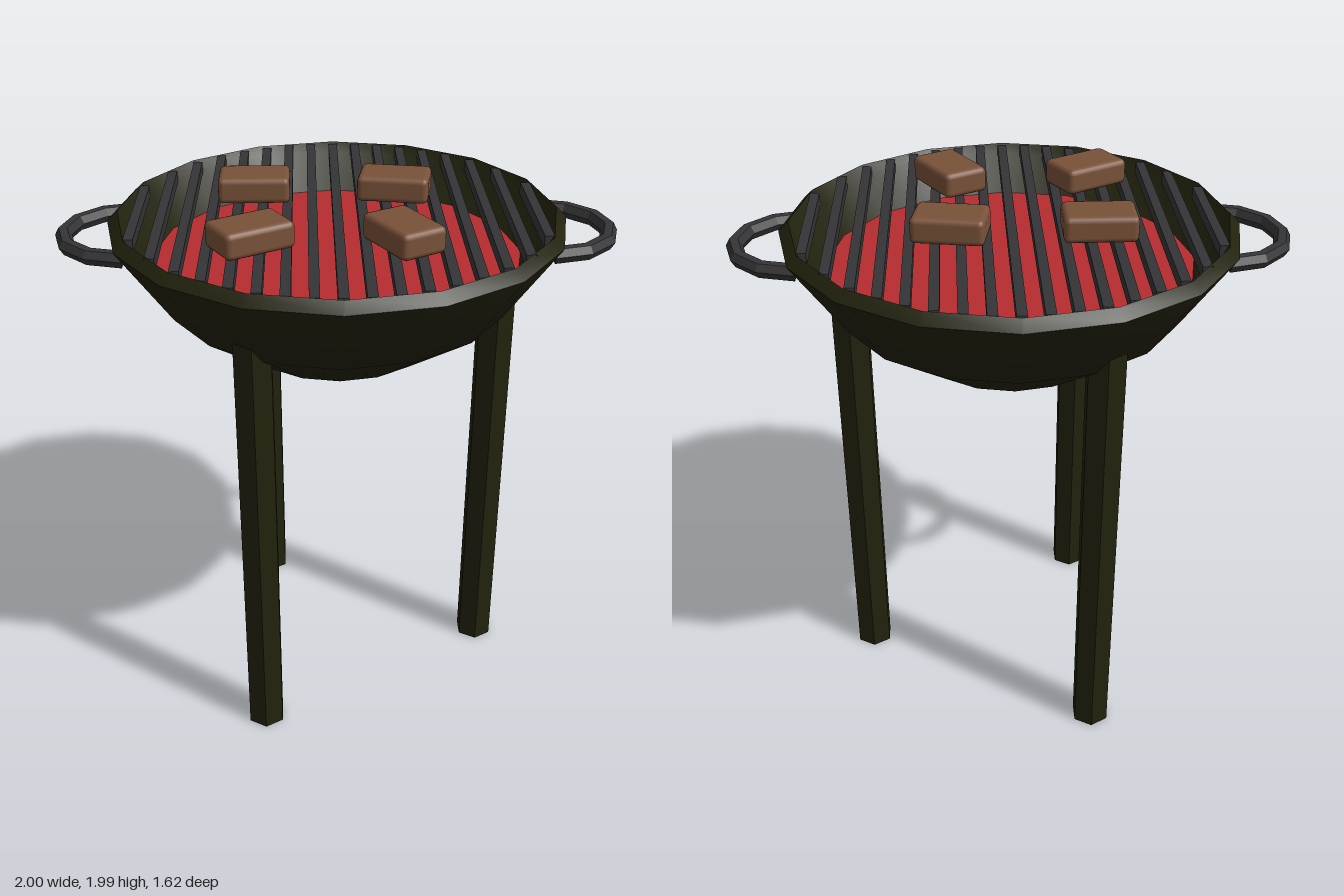
import * as THREE from 'three';
import { toCreasedNormals } from 'three/addons/utils/BufferGeometryUtils.js';
import { RoundedBoxGeometry } from 'three/addons/geometries/RoundedBoxGeometry.js';

function material(name, color, flatShading = false) {
  const m = new THREE.MeshStandardMaterial({ color, flatShading });
  m.name = name;
  return m;
}

export function createModel() {
  const group = new THREE.Group();
  group.name = 'barbecue';
  const olive = material('dark olive metal', 0x22220e);
  const steel = material('dark grey steel', 0x353537, true);
  const ember = material('ember red', 0xb62c30);
  const meat = material('cooked meat', 0x7a5239);

  function add(name, geometry, mat, x = 0, y = 0, z = 0, parent = group) {
    const mesh = new THREE.Mesh(geometry, mat);
    mesh.name = name;
    mesh.position.set(x, y, z);
    parent.add(mesh);
    return mesh;
  }

  // Bowl: outer wall, bevelled rim, then the inner wall
  const profile = [
    [0, 1.33], [0.345, 1.4], [0.62, 1.59], [0.812, 1.87], [0.775, 1.905],
    [0.755, 1.87], [0.58, 1.63], [0, 1.5],
  ].map(([r, y]) => new THREE.Vector2(r, y));
  add('bowl', toCreasedNormals(new THREE.LatheGeometry(profile, 16), 0.75), olive);

  // Bed of glowing coals
  add('coals', new THREE.CylinderGeometry(0.68, 0.62, 0.06, 16), ember, 0, 1.71, 0);

  // Grate bars, each cut to the chord of the bowl
  const grate = new THREE.Group();
  grate.name = 'grate';
  group.add(grate);
  for (let i = -8; i <= 8; i++) {
    const x = i * 0.0882;
    const length = 2 * Math.sqrt(0.755 ** 2 - x ** 2);
    add('grateBar', new THREE.BoxGeometry(0.034, 0.043, length), steel, x, 1.88, 0, grate);
  }

  // Three six-sided legs
  for (let i = 0; i < 3; i++) {
    const a = i * Math.PI * 2 / 3;
    add('leg', toCreasedNormals(new THREE.CylinderGeometry(0.073, 0.073, 1.66, 6), 0.5),
      olive, 0.585 * Math.cos(a), 0.83, 0.585 * Math.sin(a));
  }

  // Half-ring side handles with closed ends
  for (const side of [1, -1]) {
    const handle = new THREE.Group();
    handle.name = side > 0 ? 'leftHandle' : 'rightHandle';
    handle.position.set(side * 0.735, 1.818, 0);
    handle.rotation.y = side > 0 ? 0 : Math.PI;
    group.add(handle);
    const ring = new THREE.TorusGeometry(0.235, 0.03, 6, 6, Math.PI);
    ring.rotateZ(-Math.PI / 2).rotateX(Math.PI / 2);
    add('handleRing', ring, steel, 0, 0, 0, handle);
    for (const z of [0.235, -0.235]) {
      const cap = new THREE.CircleGeometry(0.03, 6).rotateY(-Math.PI / 2);
      add('handleEnd', cap, steel, 0, 0, z, handle);
    }
  }

  // Pieces of meat: x, z, turn
  const pieces = [
    [-0.295, -0.15, 0], [0.21, -0.145, -0.17],
    [-0.295, 0.335, 0.52], [0.21, 0.335, -1.05],
  ];
  for (const [x, z, turn] of pieces) {
    const piece = add('meat', new RoundedBoxGeometry(0.255, 0.092, 0.172, 2, 0.02), meat, x, 1.945, z);
    piece.rotation.y = turn;
  }
  return group;
}
